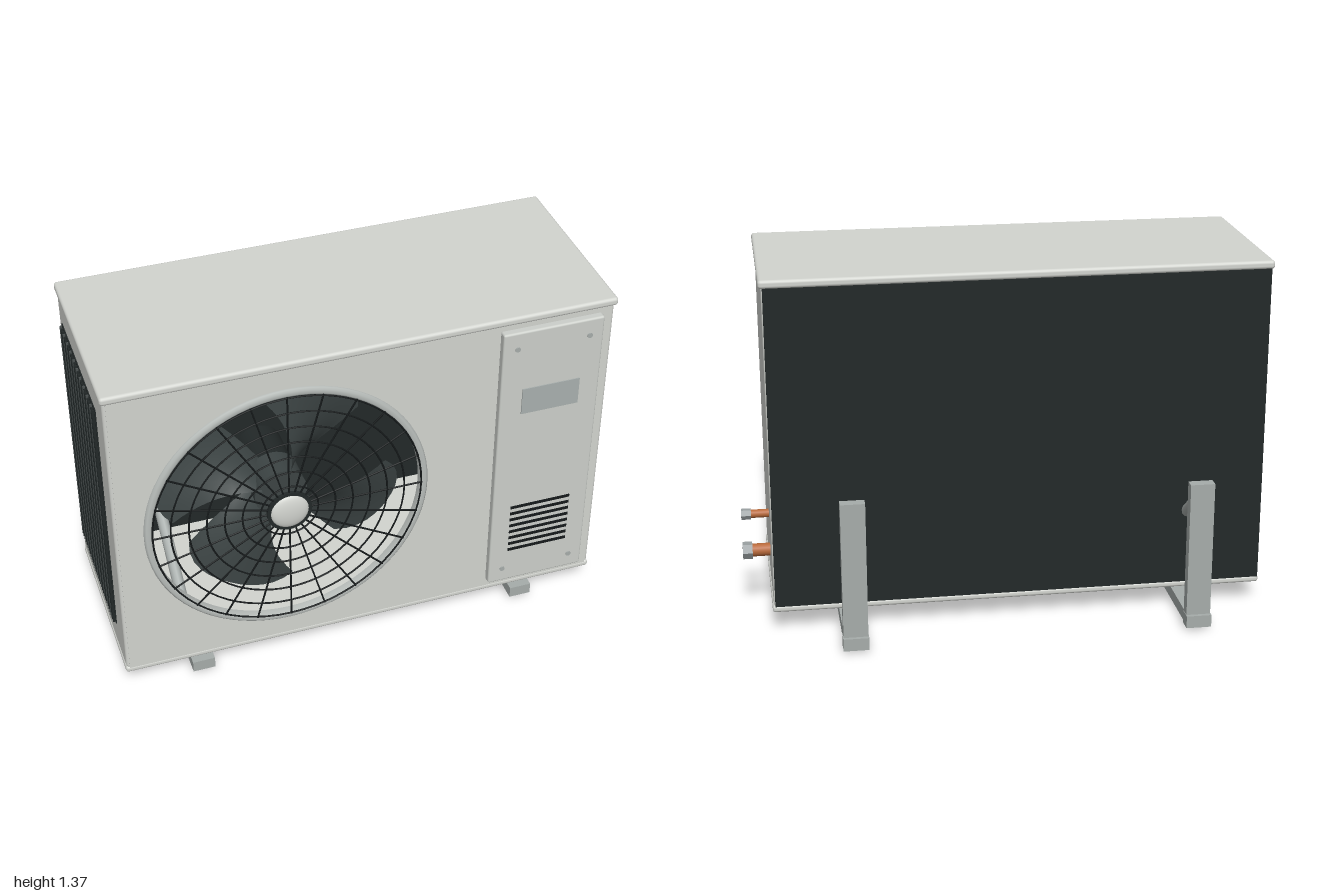
import * as THREE from 'three';
import { RoundedBoxGeometry } from 'three/addons/geometries/RoundedBoxGeometry.js';

const mat = (color, extra = {}) => new THREE.MeshStandardMaterial({ color, ...extra });
const M = {
  shell: mat(0xd2d4cf), cover: mat(0xcccfca), steel: mat(0xa6acaa), dark: mat(0x222828),
  fin: mat(0x4a5050), wire: mat(0x15191a), blade: mat(0x3c4444, { side: THREE.DoubleSide }),
  copper: mat(0xb8693a), nut: mat(0x9aa0a2, { flatShading: true }), label: mat(0xa9b0ae),
};
const FAN = { x: -0.345, y: 0.72, r: 0.515 };

function add(parent, name, geo, material, x = 0, y = 0, z = 0) {
  const mesh = new THREE.Mesh(geo, material);
  mesh.name = name;
  mesh.position.set(x, y, z);
  parent.add(mesh);
  return mesh;
}

// Box given by its extents; r rounds the edges
function block(parent, name, material, [x0, x1], [y0, y1], [z0, z1], r = 0) {
  const s = [x1 - x0, y1 - y0, z1 - z0];
  const geo = r ? new RoundedBoxGeometry(...s, 3, r) : new THREE.BoxGeometry(...s);
  return add(parent, name, geo, material, (x0 + x1) / 2, (y0 + y1) / 2, (z0 + z1) / 2);
}

// Cylinder between two points
function rod(parent, name, material, a, b, r, sides = 16) {
  const p = new THREE.Vector3(...a), q = new THREE.Vector3(...b), d = q.clone().sub(p);
  const mesh = add(parent, name, new THREE.CylinderGeometry(r, r, d.length(), sides), material);
  mesh.position.copy(p).add(q).multiplyScalar(0.5);
  mesh.quaternion.setFromUnitVectors(new THREE.Vector3(0, 1, 0), d.normalize());
  return mesh;
}

function buildCabinet() {
  const g = new THREE.Group();
  g.name = 'cabinet';
  block(g, 'lid', M.shell, [-0.995, 0.905], [1.34, 1.372], [-0.276, 0.474], 0.012);
  block(g, 'baseTray', M.shell, [-0.99, 0.9], [0.077, 0.104], [-0.268, 0.465], 0.011);
  block(g, 'leftWall', M.shell, [0.865, 0.895], [0.1, 1.345], [-0.265, 0.463], 0.012);
  block(g, 'rightWall', M.shell, [-0.987, -0.957], [0.1, 1.345], [-0.265, 0.463], 0.012);
  block(g, 'backCoil', M.dark, [-0.983, 0.89], [0.104, 1.342], [-0.275, -0.258]);

  // Front panel with the fan opening
  const s = new THREE.Shape();
  s.moveTo(-0.975, 0.1).lineTo(0.883, 0.1).lineTo(0.883, 1.345).lineTo(-0.975, 1.345).closePath();
  s.holes.push(new THREE.Path().absarc(FAN.x, FAN.y, FAN.r, 0, Math.PI * 2, true));
  add(g, 'frontPanel', new THREE.ExtrudeGeometry(s, { depth: 0.025, bevelEnabled: false, curveSegments: 48 }),
    M.shell, 0, 0, 0.44);

  // Finned side coil
  block(g, 'sideCoil', M.dark, [-0.991, -0.98], [0.22, 1.23], [-0.21, 0.34]);
  for (let i = 0; i < 30; i++) {
    const z = -0.2 + i * 0.0183;
    block(g, 'coilFin', i % 3 ? M.dark : M.fin, [-1, -0.988], [0.225, 1.225], [z - 0.003, z + 0.003]);
  }
  return g;
}

function buildFan() {
  const g = new THREE.Group();
  g.name = 'fan';
  g.position.set(FAN.x, FAN.y, 0.32);
  rod(g, 'fanHub', M.blade, [0, 0, -0.06], [0, 0, 0.06], 0.1, 32);
  rod(g, 'motor', M.dark, [0, 0, -0.24], [0, 0, -0.06], 0.09, 24);

  // Broad pitched blade, swept by radius
  const blade = new THREE.PlaneGeometry(1, 1, 12, 10);
  const p = blade.attributes.position;
  for (let i = 0; i < p.count; i++) {
    const u = p.getX(i), t = p.getY(i) + 0.5;
    const r = 0.08 + t * 0.4 - 0.07 * t * Math.pow(Math.abs(2 * u), 3);
    const a = u * (0.65 + 0.4 * t) + 0.3 * t;
    p.setXYZ(i, r * Math.cos(a), r * Math.sin(a), u * 0.14 * (1 - 0.3 * t));
  }
  blade.computeVertexNormals();
  for (let i = 0; i < 4; i++) {
    add(g, 'fanBlade', blade, M.blade).rotation.z = 0.85 + i * Math.PI / 2;
  }
  return g;
}

function buildGrille() {
  const g = new THREE.Group();
  g.name = 'fanGrille';
  g.position.set(FAN.x, FAN.y, 0.482);
  // Flat rim around the opening
  const rim = [[0.508, -0.035], [0.508, -0.008], [0.515, -0.003], [0.53, -0.003], [0.537, -0.009], [0.537, -0.02]];
  const rimGeo = new THREE.LatheGeometry(rim.map(([r, y]) => new THREE.Vector2(r, y)), 72);
  add(g, 'grilleRim', rimGeo, mat(0xb9bebb, { side: THREE.DoubleSide })).rotation.x = Math.PI / 2;

  for (let i = 0; i < 7; i++) {
    add(g, 'grilleRing', new THREE.TorusGeometry(0.11 + i * 0.0665, 0.0035, 6, 64), M.wire);
  }
  for (let i = 0; i < 24; i++) {
    const a = i * Math.PI / 12, c = Math.cos(a), s = Math.sin(a);
    rod(g, 'grilleSpoke', M.wire, [c * 0.07, s * 0.07, 0], [c * 0.513, s * 0.513, 0], 0.0035, 6);
  }
  // Centre cap
  rod(g, 'capBase', M.dark, [0, 0, -0.006], [0, 0, 0.006], 0.085, 40);
  const dome = new THREE.SphereGeometry(0.072, 32, 12, 0, Math.PI * 2, 0, Math.PI / 2);
  dome.scale(1, 0.28, 1);
  add(g, 'capDome', dome, M.shell, 0, 0, 0.004).rotation.x = Math.PI / 2;
  return g;
}

function buildServiceCover() {
  const g = new THREE.Group();
  g.name = 'serviceCover';
  block(g, 'coverPlate', M.cover, [0.455, 0.845], [0.135, 1.32], [0.46, 0.495], 0.008);
  block(g, 'ratingPlate', M.label, [0.54, 0.765], [0.955, 1.067], [0.49, 0.499]);
  for (let i = 0; i < 8; i++) {
    const y = 0.293 + i * 0.0303;
    block(g, 'ventSlot', M.wire, [0.528, 0.77], [y - 0.006, y + 0.006], [0.485, 0.498]);
  }
  for (const x of [0.51, 0.79]) for (const y of [0.2, 1.25]) {
    rod(g, 'coverScrew', M.steel, [x, y, 0.49], [x, y, 0.5], 0.01, 12);
  }
  return g;
}

// Wall bracket: rail, upright, brace and rubber pad
function buildBracket(x) {
  const g = new THREE.Group();
  g.name = 'wallBracket';
  g.position.x = x;
  block(g, 'rail', M.steel, [-0.043, 0.043], [0.014, 0.06], [-0.485, 0.475]);
  block(g, 'railEnd', M.steel, [-0.048, 0.048], [0.012, 0.06], [-0.502, -0.445]);
  block(g, 'upright', M.steel, [-0.046, 0.046], [0.014, 0.586], [-0.487, -0.445]);
  rod(g, 'brace', M.steel, [0, 0.025, 0.255], [0, 0.52, -0.44], 0.023, 12);
  block(g, 'rubberPad', M.dark, [-0.065, 0.065], [0.058, 0.08], [-0.075, 0.225]);
  rod(g, 'anchorBolt', M.nut, [0, 0.125, -0.45], [0, 0.125, -0.422], 0.015, 6);
  rod(g, 'railBolt', M.nut, [0, 0, 0.255], [0, 0.02, 0.255], 0.014, 6);
  return g;
}

// Copper stub with hexagonal flare nut
function buildPipe(y, r) {
  const g = new THREE.Group();
  g.name = 'refrigerantPipe';
  rod(g, 'copperStub', M.copper, [0.88, y, -0.055], [0.97, y, -0.055], r, 20);
  rod(g, 'flareNut', M.nut, [0.963, y, -0.055], [1, y, -0.055], r * 1.35, 6);
  return g;
}

export function createModel() {
  const model = new THREE.Group();
  model.name = 'outdoorHeatPump';
  model.add(
    buildCabinet(), buildFan(), buildGrille(), buildServiceCover(),
    buildBracket(-0.693), buildBracket(0.605),
    buildPipe(0.4, 0.016), buildPipe(0.25, 0.025),
  );
  return model;
}
